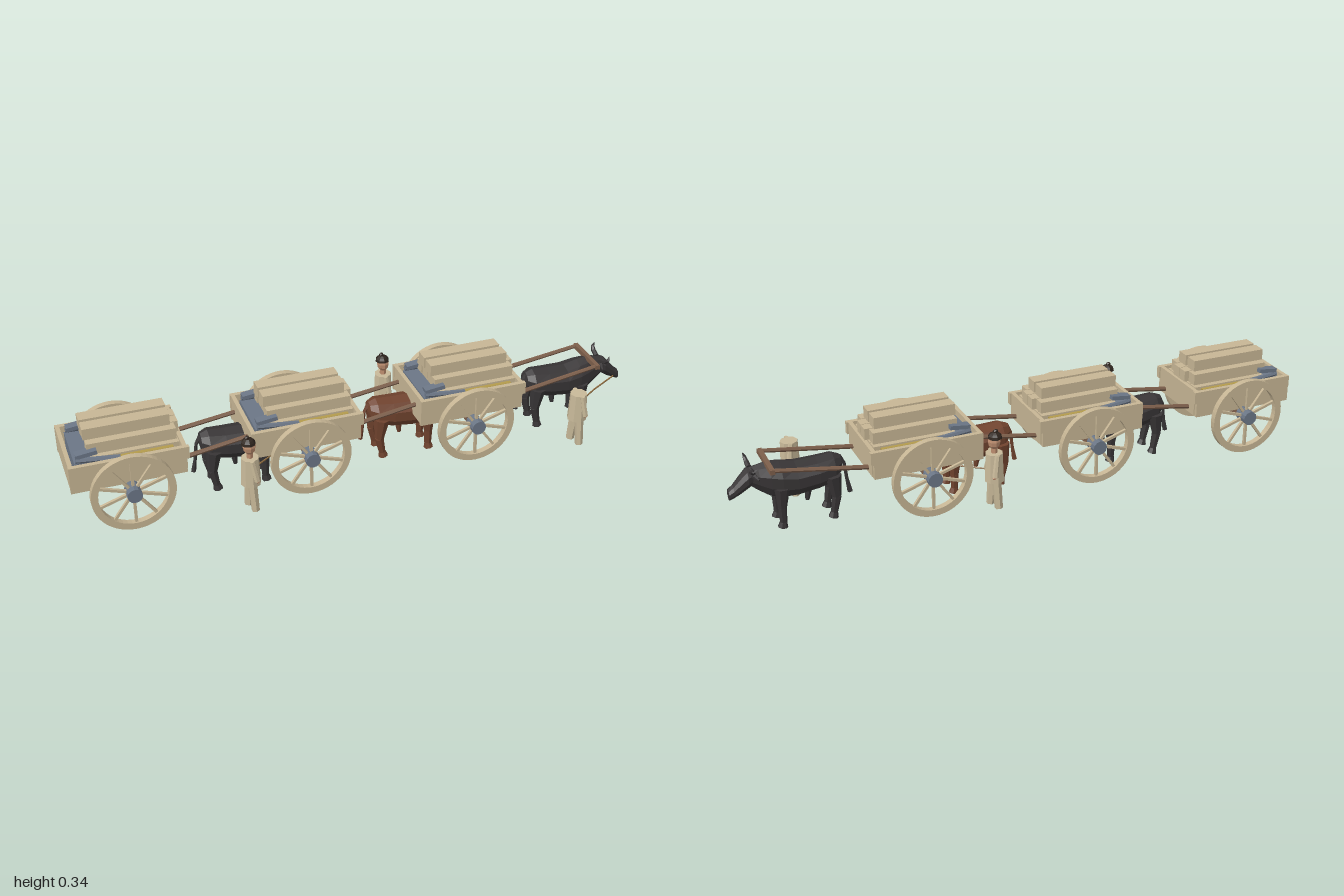
import * as THREE from 'three';
import { mergeGeometries } from 'three/addons/utils/BufferGeometryUtils.js';

const mat = (name, color) => {
  const m = new THREE.MeshStandardMaterial({ color });
  m.name = name;
  return m;
};
const wood = mat('pale wood', 0xc6b594);
const darkWood = mat('dark wood', 0x7d5f4b);
const steel = mat('blue steel', 0x6b7686);
const blackHide = mat('black hide', 0x383536);
const brownHide = mat('brown hide', 0x70432e);
const skin = mat('skin', 0xbf8f70);
const hair = mat('hair', 0x30261f);
const straw = mat('straw', 0xb39b4c);
const cloth = mat('pale cloth', 0xc8b999);
const rope = mat('rope', 0x8f6c40);

// Faceted normals
function flat(g) {
  const f = g.index ? g.toNonIndexed() : g;
  f.computeVertexNormals();
  return f;
}
function add(parent, name, material, ...geos) {
  const m = new THREE.Mesh(mergeGeometries(geos.map(g => {
    const f = flat(g);
    f.deleteAttribute('uv');
    return f;
  })), material);
  m.name = name;
  parent.add(m);
  return m;
}
// Box given by its extents
const box = (x0, x1, y0, y1, z0, z1) => new THREE.BoxGeometry(x1 - x0, y1 - y0, z1 - z0)
  .translate((x0 + x1) / 2, (y0 + y1) / 2, (z0 + z1) / 2);

// Tapered rod from a to b
function rod(a, b, r0, r1 = r0, sides = 6) {
  const p = new THREE.Vector3(...a), q = new THREE.Vector3(...b);
  const d = q.clone().sub(p), len = d.length();
  const turn = new THREE.Quaternion().setFromUnitVectors(new THREE.Vector3(0, 1, 0), d.normalize());
  return new THREE.CylinderGeometry(r1, r0, len, sides).applyQuaternion(turn)
    .translate(...p.add(q).multiplyScalar(0.5).toArray());
}
const chain = (pts, radii, sides) => pts.slice(1).map((p, i) => rod(pts[i], p, radii[i], radii[i + 1], sides));

// Skin over oval rings [x, y, half height, half width] along x
function loft(rings, sides = 10) {
  const pos = [], idx = [];
  rings.forEach(([x, y, h, w]) => {
    for (let j = 0; j < sides; j++) {
      const a = j / sides * Math.PI * 2;
      pos.push(x, y + h * Math.cos(a), w * Math.sin(a));
    }
  });
  for (let i = 0; i < rings.length - 1; i++) for (let j = 0; j < sides; j++) {
    const k = (j + 1) % sides, a = i * sides, b = a + sides;
    idx.push(a + j, a + k, b + j, a + k, b + k, b + j);
  }
  const g = new THREE.BufferGeometry();
  g.setAttribute('position', new THREE.Float32BufferAttribute(pos, 3));
  g.setAttribute('uv', new THREE.Float32BufferAttribute(new Float32Array(pos.length / 3 * 2), 2));
  g.setIndex(idx);
  return g;
}

function makeWheel(z) {
  const wheel = new THREE.Group();
  wheel.name = 'wheel';
  const R = 0.137, inner = 0.114;
  const ring = new THREE.Shape().absarc(0, 0, R, 0, Math.PI * 2);
  ring.holes.push(new THREE.Path().absarc(0, 0, inner, 0, Math.PI * 2, true));
  add(wheel, 'rim', wood, new THREE.ExtrudeGeometry(ring, { depth: 0.022, bevelEnabled: false, curveSegments: 24 })
    .translate(0, 0, -0.011));
  const spokes = [];
  for (let i = 0; i < 10; i++) {
    spokes.push(new THREE.BoxGeometry(0.009, 0.1, 0.01).translate(0, 0.068, 0).rotateZ(i * Math.PI / 5));
  }
  add(wheel, 'spokes', wood, ...spokes);
  add(wheel, 'hub', steel, new THREE.CylinderGeometry(0.025, 0.025, 0.055, 12).rotateX(Math.PI / 2));
  wheel.position.set(0, 0.142, z);
  return wheel;
}

function makeCart() {
  const cart = new THREE.Group();
  cart.name = 'cart';
  add(cart, 'bed', wood, box(-0.185, 0.185, 0.155, 0.168, -0.125, 0.125));
  const boards = [];
  for (const s of [-1, 1]) {
    const z = s * 0.128;
    boards.push(box(-0.19, 0.185, 0.155, 0.207, z - 0.006, z + 0.006));
    boards.push(box(-0.19, 0.195, 0.207, 0.25, z - 0.008, z + 0.008));
    const x = s * 0.182;
    boards.push(box(x - 0.007, x + 0.007, 0.16, 0.25, -0.122, 0.122));
  }
  add(cart, 'sideBoards', wood, ...boards);

  // Stacked planks
  const planks = [];
  for (const s of [-1, 1]) {
    const at = (x0, x1, y0, z, w) => planks.push(box(x0, x1, y0, y0 + 0.039, s * z - w / 2, s * z + w / 2));
    at(-0.125, 0.155, 0.293, 0.03, 0.047);
    at(-0.115, 0.183, 0.253, 0.02, 0.037);
    at(-0.12, 0.168, 0.253, 0.061, 0.038);
    at(-0.11, 0.172, 0.212, 0.03, 0.056);
    at(-0.11, 0.172, 0.212, 0.078, 0.036);
  }
  add(cart, 'planks', wood, ...planks);

  // Iron goods behind and beside the planks
  const iron = [box(-0.165, -0.1, 0.168, 0.24, -0.1, 0.1)];
  for (const s of [-1, 1]) {
    iron.push(rod([-0.16, 0.25, s * 0.095], [-0.02, 0.24, s * 0.105], 0.009));
    iron.push(new THREE.BoxGeometry(0.07, 0.014, 0.03).rotateZ(0.12).translate(-0.125, 0.266, s * 0.085));
  }
  add(cart, 'ironGoods', steel, ...iron);
  add(cart, 'strawBundles', straw, ...[-1, 1].map(s => rod([-0.02, 0.238, s * 0.106], [0.15, 0.238, s * 0.106], 0.011)));

  // Running gear and shafts
  add(cart, 'axle', darkWood, box(-0.012, 0.012, 0.124, 0.155, -0.15, 0.15));
  const shafts = [];
  for (const s of [-1, 1]) {
    shafts.push(rod([-0.17, 0.147, s * 0.083], [0.18, 0.177, s * 0.083], 0.008));
    shafts.push(rod([0.18, 0.177, s * 0.083], [0.505, 0.226, s * 0.078], 0.008, 0.007));
  }
  add(cart, 'shafts', darkWood, ...shafts);
  add(cart, 'yoke', darkWood, box(0.492, 0.508, 0.215, 0.231, -0.087, 0.087));
  cart.add(makeWheel(0.167), makeWheel(-0.167));
  return cart;
}

function makeOx(hide) {
  const ox = new THREE.Group();
  ox.name = 'ox';
  add(ox, 'body', hide, loft([
    [0.253, 0.175, 0.002, 0.002], [0.26, 0.173, 0.03, 0.03], [0.285, 0.163, 0.05, 0.05],
    [0.34, 0.155, 0.054, 0.058], [0.41, 0.15, 0.058, 0.06], [0.46, 0.155, 0.064, 0.056],
    [0.495, 0.162, 0.062, 0.046], [0.53, 0.172, 0.046, 0.033], [0.56, 0.182, 0.03, 0.025]]));
  add(ox, 'head', hide, loft([
    [0.532, 0.188, 0.002, 0.002], [0.538, 0.188, 0.026, 0.025], [0.565, 0.178, 0.034, 0.032],
    [0.59, 0.157, 0.029, 0.026], [0.612, 0.139, 0.022, 0.021], [0.628, 0.13, 0.019, 0.019], [0.63, 0.13, 0.002, 0.002]]));
  const legs = [], horns = [], ears = [];
  for (const s of [-1, 1]) {
    const z = s * 0.039;
    legs.push(...chain([[0.295, 0.15, z], [0.287, 0.075, z], [0.298, 0.018, z], [0.302, 0, z]], [0.028, 0.016, 0.012, 0.017], 7));
    legs.push(...chain([[0.465, 0.14, z], [0.468, 0.07, z], [0.468, 0.018, z], [0.471, 0, z]], [0.026, 0.015, 0.012, 0.017], 7));
    horns.push(...chain([[0.552, 0.204, s * 0.02], [0.553, 0.213, s * 0.045], [0.555, 0.225, s * 0.058], [0.56, 0.24, s * 0.056]],
      [0.009, 0.008, 0.006, 0.001], 6));
    ears.push(rod([0.548, 0.194, s * 0.025], [0.538, 0.189, s * 0.057], 0.009, 0.003, 5));
  }
  add(ox, 'legs', hide, ...legs);
  add(ox, 'horns', hide, ...horns);
  add(ox, 'ears', hide, ...ears);
  add(ox, 'tail', hide, ...chain([[0.262, 0.195, 0], [0.245, 0.165, 0], [0.238, 0.105, 0], [0.23, 0.06, 0]], [0.009, 0.006, 0.006, 0.009], 5));
  add(ox, 'belly', hide, rod([0.37, 0.1, 0], [0.375, 0.06, 0], 0.013, 0.007));
  return ox;
}

// Drover walking beside the ox, facing +x
function makeDrover(withHead) {
  const man = new THREE.Group();
  man.name = 'drover';
  add(man, 'tunic', cloth, rod([0, 0.095, 0], [0, 0.195, 0], 0.034, 0.03, 8));
  const limbs = [], hands = [];
  for (const s of [-1, 1]) {
    limbs.push(rod([s * 0.006, 0, s * 0.022], [0, 0.102, s * 0.017], 0.014, 0.016, 6));
    limbs.push(rod([0, 0.195, s * 0.028], [0.012, 0.122, s * 0.037], 0.009, 0.01, 6));
    hands.push(new THREE.IcosahedronGeometry(0.007, 0).translate(0.014, 0.12, s * 0.036));
  }
  add(man, 'legsAndSleeves', cloth, ...limbs);
  add(man, 'hands', skin, ...hands);
  if (withHead) {
    add(man, 'neck', skin, rod([0, 0.19, 0], [0, 0.22, 0], 0.011));
    add(man, 'face', skin, new THREE.SphereGeometry(0.022, 8, 6).scale(1, 1.3, 1).translate(0, 0.237, 0));
    add(man, 'hair', hair,
      new THREE.SphereGeometry(0.0245, 8, 4, 0, Math.PI * 2, 0, Math.PI / 2).scale(1, 0.9, 1).translate(-0.003, 0.247, 0),
      new THREE.IcosahedronGeometry(0.009, 0).translate(-0.006, 0.27, 0));
  }
  return man;
}

export function createModel() {
  const model = new THREE.Group();
  model.name = 'oxCartCaravan';
  const teams = [
    { x: -0.81, hide: blackHide, side: 1, head: true },
    { x: -0.22, hide: brownHide, side: -1, head: true },
    { x: 0.37, hide: blackHide, side: 1, head: false }];
  for (const { x, hide, side, head } of teams) {
    const team = new THREE.Group();
    team.name = 'cartTeam';
    const drover = makeDrover(head);
    drover.position.set(0.38, 0, side * 0.178);
    team.add(makeCart(), makeOx(hide), drover);
    add(team, 'leadRope', rope, ...chain(
      [[0.605, 0.132, side * 0.02], [0.5, 0.127, side * 0.075], [0.395, 0.122, side * 0.142]], [0.003, 0.003, 0.003], 5));
    team.position.x = x;
    model.add(team);
  }
  return model;
}
